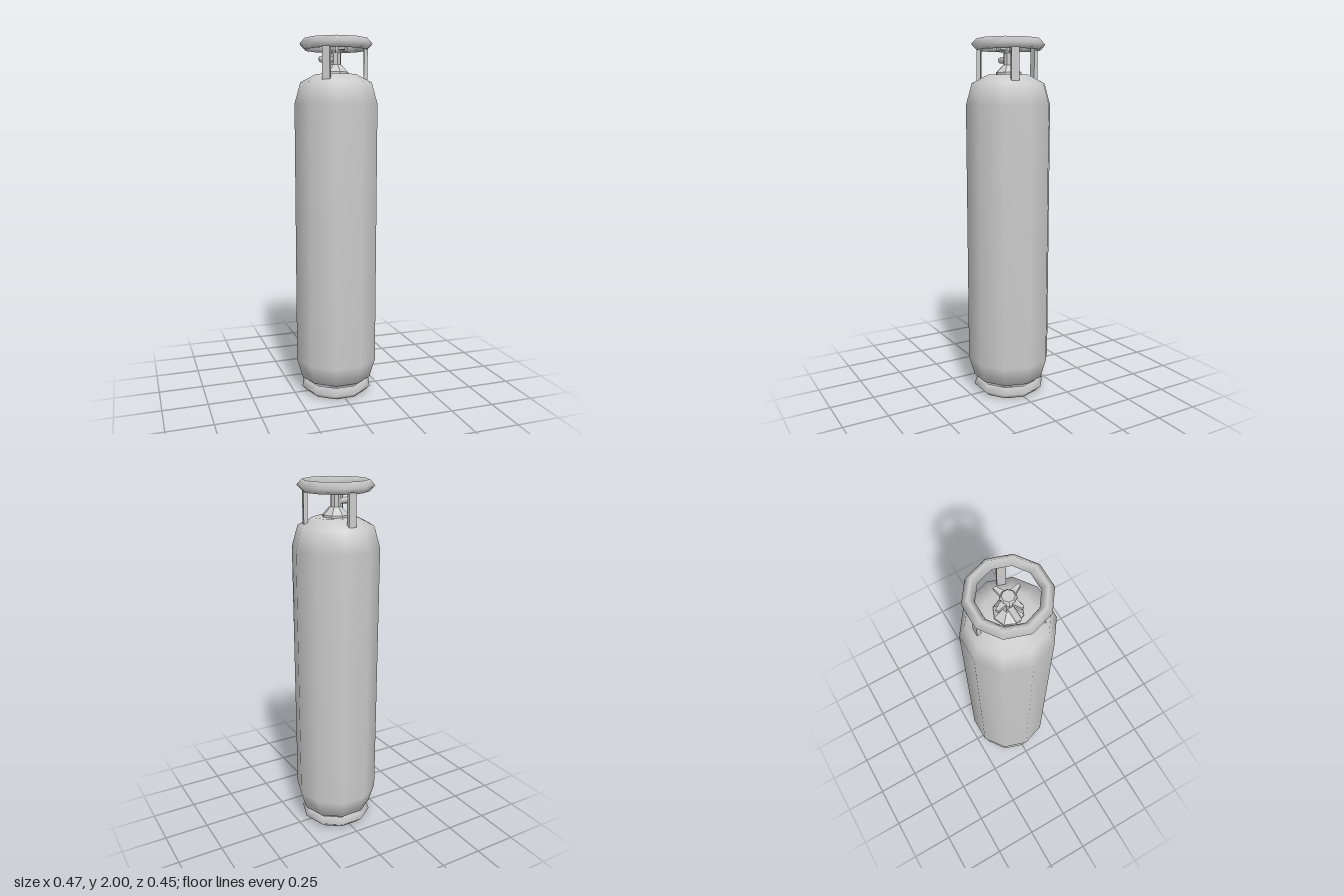
import * as THREE from 'three';

const smooth = new THREE.MeshStandardMaterial({ color: 0xcccccc });
const flat = new THREE.MeshStandardMaterial({ color: 0xcccccc, flatShading: true });

function add(parent, name, geometry, material, x = 0, y = 0, z = 0) {
  const mesh = new THREE.Mesh(geometry, material);
  mesh.name = name;
  mesh.position.set(x, y, z);
  parent.add(mesh);
  return mesh;
}

// Revolved profile, listed bottom to top, with a corner on the +x axis
function lathe(profile, sides) {
  const points = profile.map(([r, y]) => new THREE.Vector2(r, y));
  return new THREE.LatheGeometry(points, sides, Math.PI / 2);
}

// Ten-sided ring with a diamond cross-section
function ring(radius, tube) {
  return new THREE.TorusGeometry(radius, tube, 4, 10).rotateX(Math.PI / 2);
}

export function createModel() {
  const model = new THREE.Group();
  model.name = 'gasCylinder';

  // Tank with sloping shoulders
  add(model, 'tank', lathe([
    [0, 0.065], [0.14, 0.065], [0.203, 0.09], [0.236, 0.2],
    [0.236, 1.65], [0.203, 1.765], [0.115, 1.81], [0, 1.812],
  ], 10), smooth);

  // Foot ring and carrying ring
  add(model, 'footRing', ring(0.172, 0.033), smooth, 0, 0.033, 0);
  add(model, 'carryRing', ring(0.175, 0.03), smooth, 0, 1.97, 0);

  // Posts holding the carrying ring, each in line with a tank side
  for (const degrees of [18, 126, 270]) {
    const a = THREE.MathUtils.degToRad(degrees);
    const post = add(model, 'ringPost', new THREE.BoxGeometry(0.021, 0.18, 0.042), flat,
      0.162 * Math.cos(a), 1.865, 0.162 * Math.sin(a));
    post.rotation.y = -a;
  }

  // Valve body: collar, neck and flared top
  const valve = new THREE.Group();
  valve.name = 'valve';
  model.add(valve);
  add(valve, 'valveBody', lathe([
    [0.072, 1.8], [0.072, 1.822], [0.034, 1.86], [0.028, 1.862], [0.028, 1.925], [0, 1.925],
  ], 8), flat);

  // Side outlet with a slightly rounded end
  const outlet = add(valve, 'outlet', lathe([
    [0.017, 0], [0.017, 0.088], [0.013, 0.095], [0, 0.095],
  ], 8), smooth, 0, 1.89, 0);
  outlet.rotation.z = Math.PI / 2;

  // Handwheel: eight-sided hub with four tapered blades
  const wheel = new THREE.Group();
  wheel.name = 'handwheel';
  wheel.rotation.y = Math.PI / 8;
  valve.add(wheel);
  add(wheel, 'hub', lathe([
    [0, 1.922], [0.03, 1.922], [0.04, 1.938], [0.04, 1.955], [0.03, 1.968], [0, 1.968],
  ], 8), flat);
  const outline = new THREE.Shape([
    new THREE.Vector2(0.02, -0.017), new THREE.Vector2(0.079, -0.007),
    new THREE.Vector2(0.079, 0.007), new THREE.Vector2(0.02, 0.017),
  ]);
  const blade = new THREE.ExtrudeGeometry(outline, { depth: 0.02, bevelEnabled: false });
  blade.rotateX(-Math.PI / 2);
  for (let i = 0; i < 4; i++) {
    add(wheel, 'blade', blade, flat, 0, 1.938, 0).rotation.y = i * Math.PI / 2;
  }

  return model;
}
